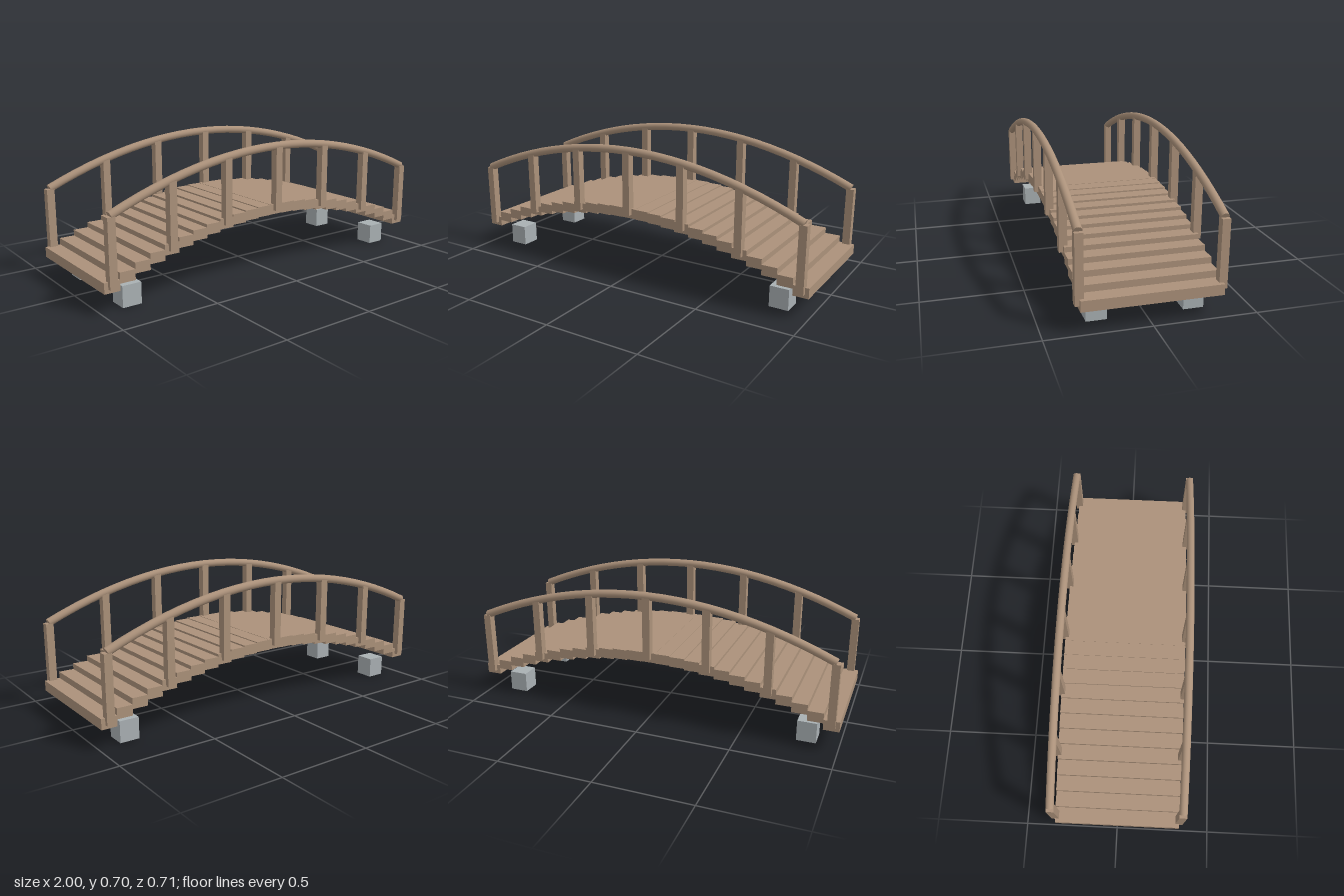
import * as THREE from 'three';

const wood = new THREE.MeshStandardMaterial({ color: 0xab917a });
wood.name = 'wood';
const stone = new THREE.MeshStandardMaterial({ color: 0xa9b0b3 });
stone.name = 'stone';

const END = 0.96;     // x of the last plank and post
const RISE = 0.214;   // height of the arch
const SIDE_Z = 0.333; // distance of the railings from the middle
const RAIL_R = 0.021;

// Height of the parabolic arch above its ends
const arch = (x) => RISE * (1 - (x / END) ** 2);

function box(parent, name, material, w, h, d, x, y, z) {
  const mesh = new THREE.Mesh(new THREE.BoxGeometry(w, h, d), material);
  mesh.name = name;
  mesh.position.set(x, y, z);
  parent.add(mesh);
}

function createRailing(side) {
  const railing = new THREE.Group();
  railing.name = side > 0 ? 'frontRailing' : 'backRailing';
  railing.position.z = side * SIDE_Z;

  // Posts reach from inside the planks to the middle of the handrail
  const postHeight = 0.336;
  for (let i = -3; i <= 3; i++) {
    const x = i * 0.32;
    box(railing, 'post', wood, 0.04, postHeight, 0.04, x, 0.13 + arch(x) + postHeight / 2, 0);
  }

  // Curved handrail
  const endY = 0.469;
  const curve = new THREE.QuadraticBezierCurve3(
    new THREE.Vector3(-END, endY, 0),
    new THREE.Vector3(0, endY + 2 * RISE, 0),
    new THREE.Vector3(END, endY, 0)
  );
  const rail = new THREE.Mesh(new THREE.TubeGeometry(curve, 24, RAIL_R, 16), wood);
  rail.name = 'handrail';
  railing.add(rail);

  // Flat ends of the handrail
  for (const t of [0, 1]) {
    const outward = curve.getTangent(t).multiplyScalar(t ? 1 : -1);
    const cap = new THREE.Mesh(new THREE.CircleGeometry(RAIL_R, 16), wood);
    cap.name = 'handrailEnd';
    cap.position.copy(curve.getPoint(t));
    cap.quaternion.setFromUnitVectors(new THREE.Vector3(0, 0, 1), outward);
    railing.add(cap);
  }
  return railing;
}

export function createModel() {
  const bridge = new THREE.Group();
  bridge.name = 'footbridge';

  // Deck of stepped planks
  const deck = new THREE.Group();
  deck.name = 'deck';
  for (let i = -12; i <= 12; i++) {
    const x = i * 0.08;
    box(deck, 'plank', wood, 0.08, 0.053, SIDE_Z * 2, x, 0.1365 + arch(x), 0);
  }
  bridge.add(deck);

  bridge.add(createRailing(1), createRailing(-1));

  // Foundation blocks
  for (const sx of [-1, 1]) {
    for (const sz of [-1, 1]) {
      box(bridge, 'foundationBlock', stone, 0.1, 0.109, 0.1, sx * 0.835, 0.0545, sz * 0.233);
    }
  }
  return bridge;
}
